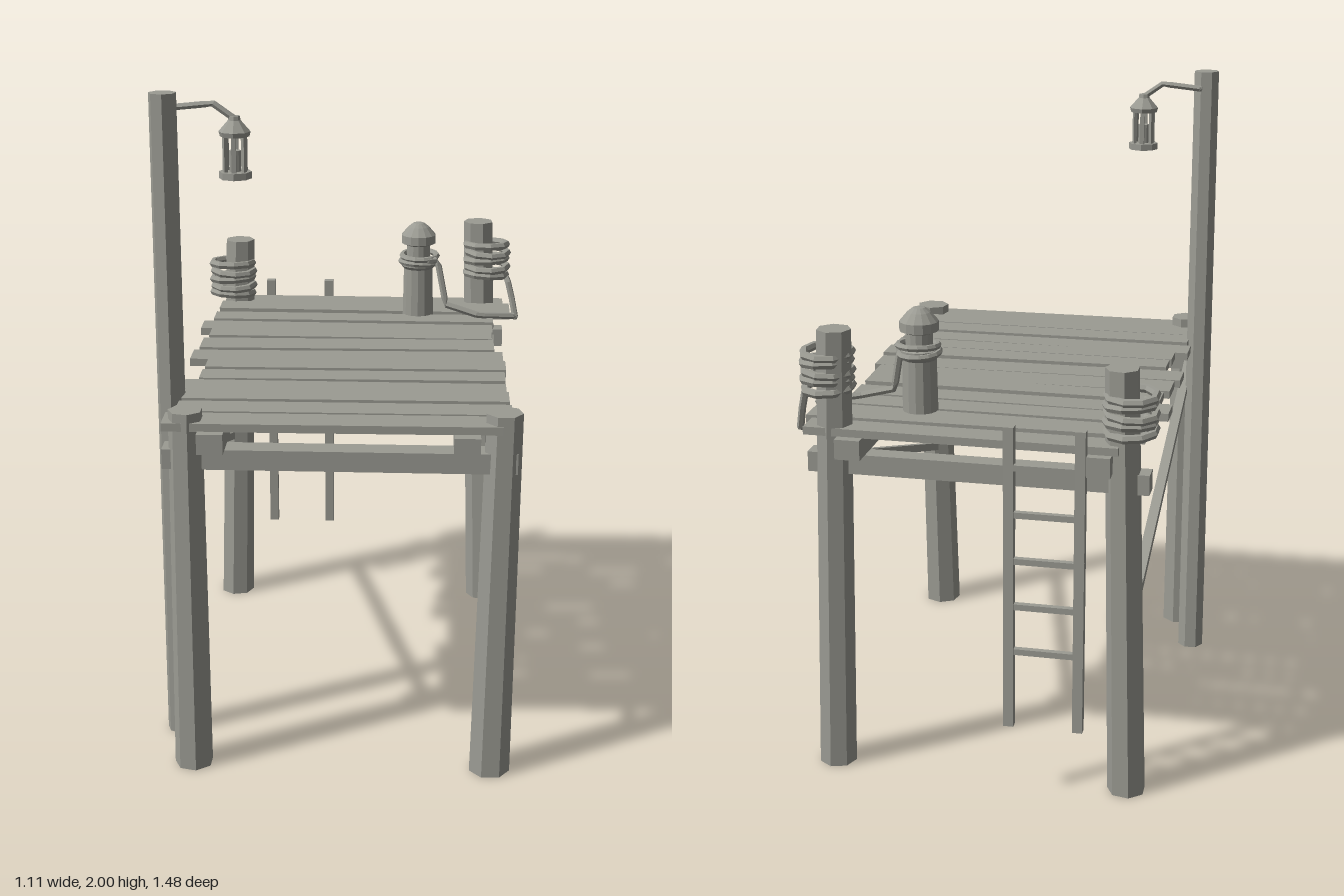
import * as THREE from 'three';

export function createModel() {
  const dock = new THREE.Group();
  dock.name = 'dock';
  const wood = new THREE.MeshStandardMaterial({ color: 0x9b9b93 });
  wood.name = 'weatheredGrey';
  wood.flatShading = true;
  const V = (x, y, z) => new THREE.Vector3(x, y, z);

  function add(name, geometry, parent = dock) {
    const mesh = new THREE.Mesh(geometry, wood);
    mesh.name = name;
    parent.add(mesh);
    return mesh;
  }
  function group(name) {
    const g = new THREE.Group();
    g.name = name;
    dock.add(g);
    return g;
  }
  // Box beam running between two points
  function beam(name, a, b, w, h, parent) {
    const m = add(name, new THREE.BoxGeometry(w, h, a.distanceTo(b)), parent);
    m.position.copy(a).lerp(b, 0.5);
    m.lookAt(b);
    return m;
  }
  // Leaning post with level ends: a tapered cylinder sheared sideways
  function post(name, [bx, bz], [tx, tz], h, rb, rt, turn) {
    const g = new THREE.CylinderGeometry(rt, rb, h, 7, 4);
    g.rotateY(turn).translate(0, h / 2, 0);
    const p = g.attributes.position;
    for (let i = 0; i < p.count; i++) {
      const t = p.getY(i) / h;
      p.setX(i, p.getX(i) + bx + (tx - bx) * t);
      p.setZ(i, p.getZ(i) + bz + (tz - bz) * t);
    }
    g.computeVertexNormals();
    return add(name, g);
  }
  // Rope or rod through a few points, with straight segments and closed ends
  function rope(name, points, r, parent) {
    const path = new THREE.CurvePath();
    for (let i = 1; i < points.length; i++) path.add(new THREE.LineCurve3(points[i - 1], points[i]));
    add(name, new THREE.TubeGeometry(path, (points.length - 1) * 4, r, 6), parent);
    for (const p of [points[0], points[points.length - 1]]) {
      add(name + 'End', new THREE.IcosahedronGeometry(r, 0), parent).position.copy(p);
    }
  }

  // Pilings and the tall lamp post
  post('frontPiling', [-0.445, 0.65], [-0.44, 0.665], 1.13, 0.058, 0.05, 0.2);
  post('frontPiling', [0.445, 0.65], [0.465, 0.645], 1.13, 0.062, 0.054, 0.5);
  post('backPiling', [0.45, -0.62], [0.41, -0.655], 1.39, 0.057, 0.051, 0.3);
  post('backPiling', [-0.45, -0.62], [-0.42, -0.64], 1.32, 0.058, 0.05, 0.7);
  post('lampPost', [-0.513, 0.437], [-0.505, 0.485], 2, 0.043, 0.04, 0.1);

  // Stringers along the deck and cross beams beneath them
  for (const x of [-0.365, 0.36]) beam('stringer', V(x, 1.05, -0.725), V(x, 1.05, 0.735), 0.075, 0.06);
  beam('crossBeam', V(-0.51, 0.985, 0.645), V(0.505, 0.985, 0.645), 0.07, 0.06);
  beam('crossBeam', V(-0.505, 0.985, -0.63), V(0.5, 0.985, -0.63), 0.06, 0.06);

  // One diagonal brace on each long side
  beam('brace', V(0.455, 0.6, 0.63), V(0.455, 0.99, -0.62), 0.03, 0.025);
  beam('brace', V(-0.46, 0.99, 0.63), V(-0.46, 0.6, -0.62), 0.03, 0.025);

  // Deck planks: x ends, then back and front z at the -x end and at the +x end
  const planks = [
    [-0.42, 0.5, -0.7, -0.615, -0.695, -0.61],
    [-0.48, 0.52, -0.595, -0.5, -0.605, -0.48],
    [-0.485, 0.46, -0.465, -0.375, -0.46, -0.37],
    [-0.515, 0.455, -0.36, -0.265, -0.345, -0.26],
    [-0.475, 0.45, -0.25, -0.165, -0.24, -0.157],
    [-0.49, 0.455, -0.145, -0.033, -0.16, -0.045],
    [-0.505, 0.48, -0.015, 0.085, -0.035, 0.067],
    [-0.445, 0.485, 0.1, 0.185, 0.083, 0.177],
    [-0.45, 0.48, 0.2, 0.29, 0.19, 0.28],
    [-0.49, 0.48, 0.295, 0.388, 0.3, 0.388],
    [-0.475, 0.485, 0.405, 0.497, 0.393, 0.487],
    [-0.48, 0.49, 0.51, 0.605, 0.505, 0.6],
    [-0.505, 0.46, 0.61, 0.71, 0.603, 0.7],
  ];
  const deck = group('deck');
  planks.forEach(([x0, x1, a0, a1, b0, b1], i) => {
    const outline = new THREE.Shape([
      new THREE.Vector2(x0, -a1), new THREE.Vector2(x1, -b1),
      new THREE.Vector2(x1, -b0), new THREE.Vector2(x0, -a0),
    ]);
    const g = new THREE.ExtrudeGeometry(outline, { depth: 0.024, bevelEnabled: false });
    add('plank', g.rotateX(-Math.PI / 2), deck).position.y = 1.079 + 0.003 * ((i * 2) % 3);
  });

  // Ladder on the back edge
  const ladder = group('ladder');
  for (const x of [-0.32, -0.115]) beam('ladderRail', V(x, 0.235, -0.73), V(x, 1.155, -0.721), 0.03, 0.028, ladder);
  for (let i = 0; i < 5; i++) {
    const y = 0.472 + i * 0.141;
    beam('rung', V(-0.335, y, -0.727), V(-0.1, y, -0.727), 0.018, 0.018, ladder);
  }

  // Mooring bollard with two turns of rope
  const bollard = group('bollard');
  bollard.position.set(0.205, 1.095, -0.485);
  const profile = [[0, 0], [0.053, 0], [0.05, 0.17], [0.058, 0.18], [0.058, 0.2], [0.04, 0.21], [0.04, 0.25],
    [0.058, 0.257], [0.058, 0.285], [0.035, 0.312], [0.018, 0.325], [0, 0.327]];
  add('bollardBody', new THREE.LatheGeometry(profile.map(p => new THREE.Vector2(...p)), 14), bollard);
  function coil(name, x, y, z, r, tube, turns, step, sides, parent) {
    for (let i = 0; i < turns; i++) {
      const ring = add(name, new THREE.TorusGeometry(r, tube, 6, sides), parent);
      ring.position.set(x + 0.004 * (i % 2), y + i * step, z);
      ring.rotation.set(Math.PI / 2 + 0.06 * (i % 2 ? 1 : -1), 0.05 * (i % 3 - 1), 0);
    }
  }
  coil('bollardRope', 0, 0.19, 0, 0.059, 0.01, 2, 0.022, 14, bollard);
  rope('mooringLine', [V(0.24, 1.3, -0.435), V(0.27, 1.3, -0.45), V(0.3, 1.15, -0.43), V(0.41, 1.118, -0.415), V(0.53, 1.105, -0.46)], 0.011);

  // Rope coils wound round the back pilings, one with a loose tail
  const coils = group('ropeCoils');
  coil('ropeCoil', 0.438, 1.21, -0.635, 0.07, 0.013, 5, 0.026, 9, coils);
  coil('ropeCoil', -0.447, 1.135, -0.63, 0.07, 0.013, 5, 0.026, 9, coils);
  rope('ropeTail', [V(0.5, 1.21, -0.64), V(0.515, 1.19, -0.615), V(0.53, 1.13, -0.605), V(0.543, 1.065, -0.59)], 0.011, coils);

  // Lamp arm and hanging lantern
  rope('lampArm', [V(-0.49, 1.95, 0.43), V(-0.37, 1.962, 0.43), V(-0.31, 1.92, 0.432)], 0.01);
  const lantern = group('lantern');
  lantern.position.set(-0.31, 1.75, 0.432);
  const disc = (name, rt, rb, h, y, sides = 8) =>
    add(name, new THREE.CylinderGeometry(rt, rb, h, sides), lantern).position.set(0, y + h / 2, 0);
  disc('lanternBase', 0.047, 0.047, 0.02, 0);
  disc('candle', 0.017, 0.017, 0.06, 0.02);
  for (let i = 0; i < 6; i++) {
    const a = (i / 6) * Math.PI * 2;
    const bar = add('lanternBar', new THREE.BoxGeometry(0.013, 0.11, 0.01), lantern);
    bar.position.set(Math.sin(a) * 0.031, 0.07, Math.cos(a) * 0.031);
    bar.rotation.y = a;
  }
  disc('lanternEave', 0.046, 0.042, 0.014, 0.12);
  disc('lanternRoof', 0.018, 0.046, 0.032, 0.134);
  disc('lanternCap', 0.016, 0.018, 0.012, 0.166);

  return dock;
}
